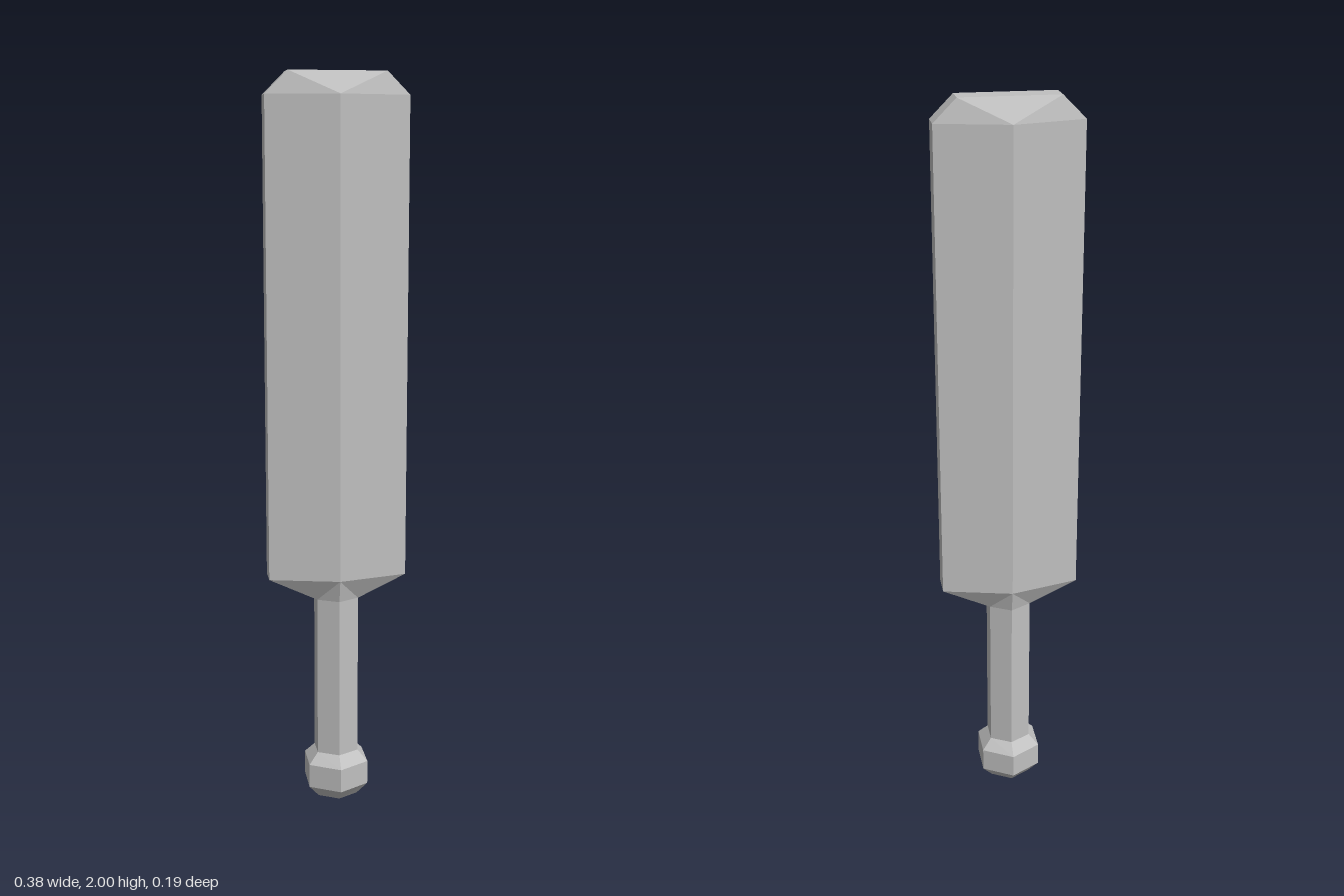
import * as THREE from 'three';

// Six-sided cross-section: flat edges at x = ±w (half depth d), ridges at z = ±p
function ring([y, w, d, p]) {
  return [[w, d], [0, p], [-w, d], [-w, -d], [0, -p], [w, -d]]
    .map(([x, z]) => new THREE.Vector3(x, y, z));
}

// Joins sections from bottom to top; ridgeUp picks which way each quad folds:
// true folds from the lower ridge to the upper edge, false the other way
function loft(sections, { capBottom = false, capTop = false, ridgeUp = [] } = {}) {
  const rings = sections.map(ring);
  const pts = [];
  for (let s = 0; s < rings.length - 1; s++) {
    const lo = rings[s], hi = rings[s + 1];
    for (let i = 0; i < 6; i++) {
      const j = (i + 1) % 6;
      const a = lo[i], b = lo[j], c = hi[j], d = hi[i];
      const ridgeFirst = i === 1 || i === 4;
      if (ridgeFirst === (ridgeUp[s] ?? true)) pts.push(a, d, c, a, c, b);
      else pts.push(a, d, b, d, c, b);
    }
  }
  const bottom = rings[0], top = rings[rings.length - 1];
  for (let i = 1; i < 5; i++) {
    if (capBottom) pts.push(bottom[0], bottom[i], bottom[i + 1]);
    if (capTop) pts.push(top[0], top[i + 1], top[i]);
  }
  const geometry = new THREE.BufferGeometry().setFromPoints(pts);
  geometry.computeVertexNormals();
  return geometry;
}

export function createModel() {
  const group = new THREE.Group();
  group.name = 'bat';
  const grey = new THREE.MeshStandardMaterial({ color: 0xc0c0c0, flatShading: true });
  grey.name = 'light grey';

  const add = (name, geometry) => {
    const mesh = new THREE.Mesh(geometry, grey);
    mesh.name = name;
    group.add(mesh);
  };

  // Sections are [height, half width, edge half depth, ridge half depth]
  const gripBottom = [0.132, 0.057, 0.032, 0.063];
  const gripTop = [0.585, 0.057, 0.032, 0.063];

  // Knob at the end of the handle
  add('knob', loft([
    [0, 0.055, 0.032, 0.063],
    [0.035, 0.083, 0.048, 0.096],
    [0.102, 0.083, 0.048, 0.096],
    gripBottom,
  ], { capBottom: true }));

  // Slim handle
  add('handle', loft([gripBottom, gripTop]));

  // Flared shoulder, long blade and bevelled tip
  add('blade', loft([
    gripTop,
    [0.648, 0.19, 0.032, 0.078],
    [1.94, 0.19, 0.032, 0.078],
    [2, 0.13, 0.032, 0.032],
  ], { capTop: true, ridgeUp: [false, true, true] }));

  return group;
}
